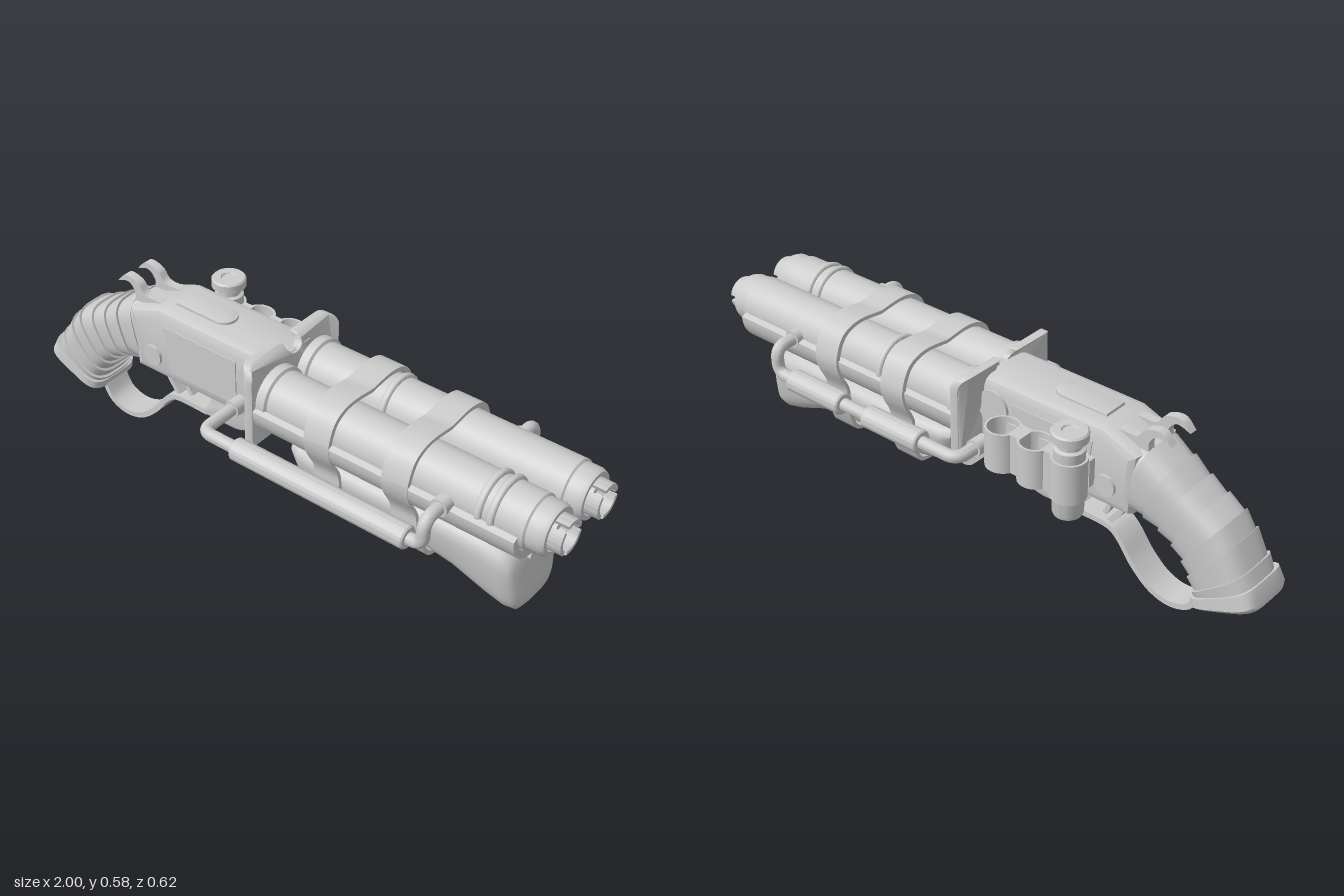
import * as THREE from 'three';
import { toCreasedNormals } from 'three/addons/utils/BufferGeometryUtils.js';

const ZC = -0.01; // centre plane of the whole piece
const V2 = (p) => new THREE.Vector2(p[0], p[1]);
const V3 = (p) => new THREE.Vector3(...p);

export function createModel() {
  const root = new THREE.Group();
  const mat = new THREE.MeshStandardMaterial({ color: 0xcccccc, side: THREE.DoubleSide });
  const add = (name, geo, x = 0, y = 0, z = 0, crease = 0.6) => {
    const m = new THREE.Mesh(toCreasedNormals(geo, crease), mat);
    m.name = name;
    m.position.set(x, y, z);
    root.add(m);
    return m;
  };
  // Extrusion in the side plane, centred across z
  const slab = (shape, depth, bevel = 0) => new THREE.ExtrudeGeometry(shape, {
    depth: depth - 2 * bevel, curveSegments: 16, bevelEnabled: bevel > 0, bevelSize: bevel,
    bevelThickness: bevel, bevelOffset: -bevel, bevelSegments: 2,
  }).translate(0, 0, bevel - depth / 2);
  // Extrusion along x of a shape drawn in (z, y)
  const along = (shape, x0, x1, bevel = 0) => slab(shape, x1 - x0, bevel).rotateY(Math.PI / 2).translate((x0 + x1) / 2, 0, 0);
  const poly = (pts) => new THREE.Shape(pts.map(V2));
  // Flat strip of even thickness following a curve
  const ribbon = (pts, t, depth) => {
    const c = new THREE.SplineCurve(pts.map(V2)), n = 36, a = [], b = [];
    for (let i = 0; i <= n; i++) {
      const p = c.getPoint(i / n), d = c.getTangent(i / n);
      a.push([p.x - d.y * t / 2, p.y + d.x * t / 2]);
      b.unshift([p.x + d.y * t / 2, p.y - d.x * t / 2]);
    }
    return slab(poly([...a, ...b]), depth);
  };
  // Turned part from [radius, height] pairs
  const turned = (pts, seg = 40) => new THREE.LatheGeometry(pts.map(V2), seg);
  const turnedX = (pts) => turned(pts).rotateZ(-Math.PI / 2);
  // Skin through sections [topX, topY, bottomX, bottomY, halfWidth], listed towards +x
  const loft = (secs, power = 0.6, taper = 0, n = 36) => {
    const pos = [], idx = [];
    for (const [tx, ty, bx, by, w] of secs) for (let j = 0; j < n; j++) {
      const a = j / n * Math.PI * 2, f = (v) => Math.sign(v) * Math.abs(v) ** power;
      const u = f(Math.cos(a)), s = f(Math.sin(a)) * (1 + taper * u);
      pos.push((tx + bx) / 2 + (tx - bx) / 2 * u, (ty + by) / 2 + (ty - by) / 2 * u, w * s);
    }
    const last = secs.length - 1, c0 = pos.length / 3;
    for (const k of [0, last]) {
      const [tx, ty, bx, by] = secs[k];
      pos.push((tx + bx) / 2, (ty + by) / 2, 0);
    }
    for (let j = 0; j < n; j++) {
      const k = (j + 1) % n;
      for (let i = 0; i < last; i++) {
        const A = i * n + j, B = i * n + k, C = B + n, D = A + n;
        idx.push(A, B, C, A, C, D);
      }
      idx.push(c0, k, j, c0 + 1, last * n + j, last * n + k);
    }
    const g = new THREE.BufferGeometry();
    g.setAttribute('position', new THREE.Float32BufferAttribute(pos, 3));
    g.setIndex(idx);
    return g;
  };
  // Pipe with rounded bends
  const pipe = (list, r, bend) => {
    const p = list.map(V3), path = new THREE.CurvePath();
    let from = p[0];
    for (let i = 1; i < p.length; i++) {
      if (i === p.length - 1) { path.add(new THREE.LineCurve3(from, p[i])); break; }
      const a = p[i].clone().add(p[i - 1].clone().sub(p[i]).setLength(bend));
      const b = p[i].clone().add(p[i + 1].clone().sub(p[i]).setLength(bend));
      path.add(new THREE.LineCurve3(from, a));
      path.add(new THREE.QuadraticBezierCurve3(a, p[i], b));
      from = b;
    }
    return new THREE.TubeGeometry(path, 140, r, 16);
  };

  // Twin barrels with recessed muzzles and notched inner collars
  for (const z of [0.087, -0.1]) {
    add('barrel', turnedX([[0, -0.01], [0.094, -0.01], [0.094, 0.02], [0.085, 0.025], [0.085, 0.9], [0.079, 0.905],
      [0.079, 0.945], [0.073, 0.96], [0.06, 0.96], [0.057, 0.93], [0, 0.93]]), 0, 0.443, z);
    for (let i = 0; i < 3; i++) {
      const a = i * Math.PI * 2 / 3 + 0.2, b = a + 1.75, s = new THREE.Shape();
      s.absarc(0, 0, 0.055, a, b, false);
      s.absarc(0, 0, 0.04, b, a, true);
      add('muzzleCollar', along(s, 0.925, 1.0, 0.004), 0, 0.443, z);
    }
    add('muzzlePlug', turnedX([[0.041, 0.93], [0.041, 0.965], [0.03, 0.968], [0.03, 0.94], [0, 0.94]]), 0, 0.443, z);
  }
  for (const [x, z] of [[0.76, 0.087], [0.8, 0.087], [0.3, -0.1]])
    add('barrelRing', new THREE.TorusGeometry(0.084, 0.012, 12, 40).rotateY(Math.PI / 2), x, 0.443, z);

  // Cradle under the barrels
  const cradle = new THREE.Shape();
  cradle.moveTo(-0.2, 0.435);
  cradle.absarc(-0.094, 0.435, 0.106, Math.PI, Math.PI * 1.5, false);
  cradle.lineTo(-0.1, 0.31);
  cradle.lineTo(0.1, 0.31);
  cradle.absarc(0.094, 0.435, 0.106, Math.PI * 1.5, Math.PI * 2, false);
  cradle.absarc(0.094, 0.443, 0.088, 0, Math.PI, true);
  cradle.absarc(-0.094, 0.443, 0.088, 0, -Math.PI, true);
  add('barrelCradle', along(cradle, -0.01, 0.89), 0, 0, ZC + 0.004);

  // Breech plate with sight notch, its rim curling back
  const plate = new THREE.Shape();
  plate.moveTo(-0.165, 0.275);
  plate.lineTo(0.165, 0.275);
  plate.quadraticCurveTo(0.205, 0.275, 0.205, 0.315);
  plate.lineTo(0.205, 0.525);
  plate.quadraticCurveTo(0.205, 0.575, 0.155, 0.575);
  plate.lineTo(0.037, 0.575);
  plate.absarc(0, 0.57, 0.033, 0, Math.PI, true);
  plate.lineTo(-0.037, 0.575);
  plate.lineTo(-0.155, 0.575);
  plate.quadraticCurveTo(-0.205, 0.575, -0.205, 0.525);
  plate.lineTo(-0.205, 0.315);
  plate.quadraticCurveTo(-0.205, 0.275, -0.165, 0.275);
  const pg = along(plate, -0.04, -0.01, 0.004), pp = pg.attributes.position;
  for (let i = 0; i < pp.count; i++) pp.setX(i, pp.getX(i) - 18 * Math.max(0, Math.abs(pp.getY(i) - 0.425) - 0.11) ** 2);
  add('breechPlate', pg, 0, 0, ZC);

  // Straps round barrels and foregrip
  const half = [[0, 0.532], [0.1, 0.541], [0.17, 0.515], [0.203, 0.445], [0.196, 0.385], [0.162, 0.315], [0.158, 0.255], [0.135, 0.18], [0.1, 0.135], [0, 0.128]];
  const loop = [...half, ...half.slice(1, -1).reverse().map(([z, y]) => [-z, y])].map(V2);
  const strapPts = new THREE.SplineCurve([...loop, loop[0]]).getPoints(90).slice(0, -1);
  for (const x of [0.18, 0.455]) {
    const s = new THREE.Shape(strapPts);
    s.holes.push(new THREE.Path(strapPts.map((p) => new THREE.Vector2(p.x * 0.93, 0.335 + (p.y - 0.335) * 0.94))));
    const g = along(s, x, x + 0.09), q = g.attributes.position;
    for (let i = 0; i < q.count; i++) q.setX(i, q.getX(i) + Math.max(0, 0.35 - q.getY(i)) * 0.1);
    add('strap', g, 0, 0, ZC);
  }

  // Padded foregrip flaring to a blunt toe
  add('foregrip', loft([
    [0.06, 0.305, 0.06, 0.26, 0.08], [0.065, 0.315, 0.075, 0.21, 0.115], [0.1, 0.32, 0.11, 0.165, 0.132], [0.2, 0.32, 0.2, 0.146, 0.14],
    [0.38, 0.32, 0.38, 0.147, 0.14], [0.54, 0.32, 0.55, 0.147, 0.135], [0.64, 0.32, 0.65, 0.122, 0.13], [0.74, 0.317, 0.76, 0.077, 0.127],
    [0.8, 0.305, 0.82, 0.06, 0.125], [0.83, 0.285, 0.85, 0.063, 0.118], [0.843, 0.26, 0.864, 0.085, 0.1], [0.85, 0.23, 0.864, 0.115, 0.07]],
  0.55, 0.14), 0, 0, ZC, 0.9);

  // Receiver, top rail and side details
  add('receiver', slab(poly([[-0.6, 0.495], [-0.48, 0.54], [-0.02, 0.54], [-0.02, 0.33], [-0.1, 0.29], [-0.58, 0.288]]), 0.205, 0.028), 0, 0, ZC, 0.4);
  const rail = new THREE.Shape();
  rail.absarc(-0.29, 0, 0.042, -Math.PI / 2, Math.PI / 2, false);
  rail.lineTo(-0.45, 0.042);
  rail.lineTo(-0.45, -0.042);
  add('topRail', slab(rail, 0.025, 0.004).rotateX(-Math.PI / 2), 0, 0.537, ZC);
  for (const s of [1, -1]) {
    const boss = (name, r, x, y) => add(name, new THREE.CylinderGeometry(r, r, 0.016, 28).rotateX(Math.PI / 2), x, y, ZC + s * 0.104);
    boss('pivotBolt', 0.035, -0.5, 0.365);
    boss('hingeBoss', 0.055, -0.09, 0.455);
    add('sidePanel', slab(poly([[-0.45, 0.49], [-0.16, 0.49], [-0.16, 0.33], [-0.43, 0.33]]), 0.01), 0, 0, ZC + s * 0.101);
  }

  // Twin hammers
  for (const z of [-0.055, 0.035])
    add('hammer', slab(new THREE.Shape(new THREE.SplineCurve([[-0.68, 0.545], [-0.645, 0.578], [-0.595, 0.568], [-0.565, 0.535], [-0.5, 0.53],
      [-0.5, 0.49], [-0.6, 0.48], [-0.607, 0.53], [-0.635, 0.558], [-0.68, 0.545]].map(V2)).getPoints(50)), 0.028), 0, 0, z);

  // Wrapped grip: overlapping bands down the curve
  const grip = [[-0.985, 0.185, -0.79, 0.09, 0.1], [-0.945, 0.25, -0.782, 0.12, 0.1], [-0.9, 0.32, -0.765, 0.155, 0.097], [-0.86, 0.365, -0.74, 0.195, 0.094],
    [-0.8, 0.395, -0.705, 0.232, 0.092], [-0.74, 0.428, -0.66, 0.26, 0.092], [-0.68, 0.468, -0.61, 0.28, 0.094], [-0.61, 0.505, -0.555, 0.292, 0.096]];
  const grow = ([tx, ty, bx, by, w], k) => {
    const cx = (tx + bx) / 2, cy = (ty + by) / 2;
    return [cx + (tx - cx) * k, cy + (ty - cy) * k, cx + (bx - cx) * k, cy + (by - cy) * k, w * k];
  };
  for (let i = 0; i < grip.length - 1; i++)
    add('gripWrap', loft([grow(grip[i], 0.97), grow(grip[i + 1], 1.045)], 0.6), 0, 0, ZC);
  add('gripNeck', loft([grip[7], [-0.53, 0.51, -0.52, 0.3, 0.095]], 0.5), 0, 0, ZC);
  add('buttCap', loft([[-1, 0.158, -0.795, 0.072, 0.095], [-0.998, 0.172, -0.787, 0.08, 0.108], [-0.975, 0.215, -0.783, 0.105, 0.106]], 0.45), 0, 0, ZC);

  // Lever, guard and triggers
  const block = new THREE.Shape();
  block.moveTo(-0.33, 0.3);
  block.quadraticCurveTo(-0.3, 0.23, -0.36, 0.192);
  block.lineTo(-0.36, 0.172);
  block.lineTo(-0.23, 0.172);
  block.quadraticCurveTo(-0.13, 0.18, -0.12, 0.3);
  add('leverBlock', slab(block, 0.095, 0.006), 0, 0, ZC);
  add('leverLoop', ribbon([[-0.34, 0.181], [-0.46, 0.181], [-0.51, 0.155], [-0.565, 0.085], [-0.63, 0.03], [-0.7, 0.012], [-0.765, 0.035], [-0.8, 0.095]], 0.018, 0.095), 0, 0, ZC);
  add('guardRear', ribbon([[-0.465, 0.181], [-0.505, 0.235], [-0.535, 0.295]], 0.016, 0.07), 0, 0, ZC);
  for (const [x, z] of [[0, 0.02], [-0.05, -0.04]])
    add('trigger', ribbon([[-0.395, 0.295], [-0.42, 0.25], [-0.405, 0.215]], 0.015, 0.025), x, 0, z);

  // Cartridge holder with one cartridge
  [-0.42, -0.3, -0.18].forEach((x) =>
    add('cartridgeLoop', turned([[0.047, 0.33], [0.054, 0.33], [0.054, 0.46], [0.047, 0.46], [0.047, 0.33]], 28), x, 0, -0.178));
  for (const x of [-0.36, -0.24]) add('loopBridge', new THREE.BoxGeometry(0.045, 0.13, 0.05), x, 0.395, -0.178);
  add('holderMount', new THREE.BoxGeometry(0.32, 0.09, 0.03), -0.3, 0.395, -0.122);
  add('cartridge', turned([[0, 0.27], [0.042, 0.27], [0.046, 0.28], [0.046, 0.49], [0.036, 0.495], [0.036, 0.515], [0.055, 0.52],
    [0.055, 0.545], [0.05, 0.55], [0.025, 0.55], [0.022, 0.545], [0, 0.545]], 28), -0.42, 0, -0.178);

  // Side pipes with sleeves and fittings
  const sides = [[1, -0.14, 0.08, [[-0.01, 0.61]]], [-1, -0.085, 0.09, [[0.05, 0.27], [0.37, 0.59]]]];
  for (const [s, x0, zIn, sleeves] of sides) {
    const z = s * 0.272, fit = (r, h, x, y, zz) => add('pipeFitting', new THREE.CylinderGeometry(r, r, h, 20).rotateX(Math.PI / 2), x, y, zz);
    add('sidePipe', pipe([[x0, 0.35, s * zIn], [x0, 0.35, z], [0.657, 0.35, z], [0.657, 0.44, z], [0.657, 0.44, s * 0.16]], 0.02, 0.04));
    for (const [a, b] of sleeves)
      add('pipeSleeve', turnedX([[0.018, a], [0.032, a], [0.036, a + 0.005], [0.036, b - 0.005], [0.032, b], [0.018, b]]), 0, 0.35, z);
    fit(0.027, 0.05, x0, 0.35, s * (s > 0 ? 0.115 : 0.175));
    fit(0.028, 0.035, 0.657, 0.44, s * 0.19);
  }
  return root;
}
